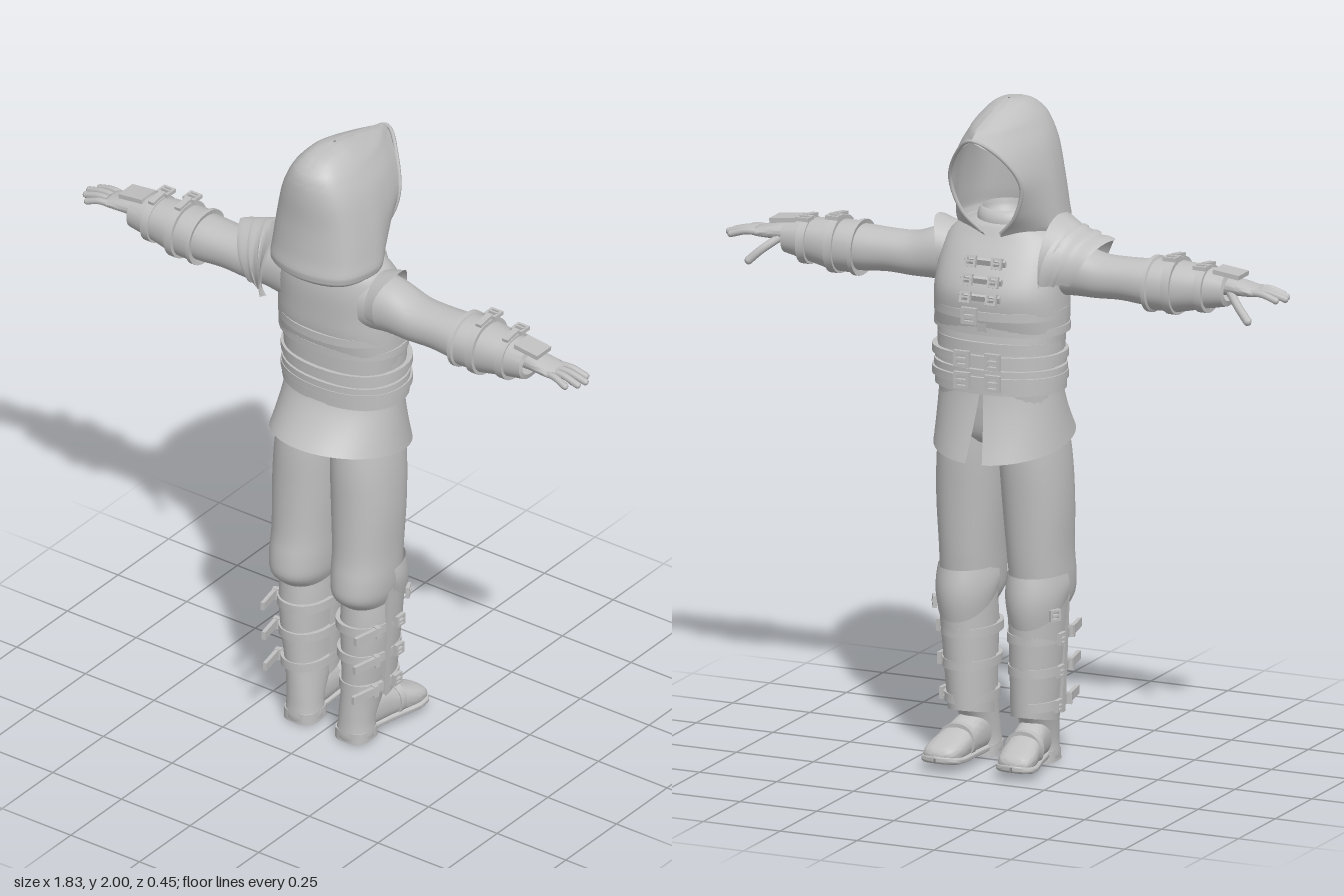
import * as THREE from 'three';
import { mergeVertices, toCreasedNormals } from 'three/addons/utils/BufferGeometryUtils.js';

const grey = new THREE.MeshStandardMaterial({ color: 0xc0c0c0, side: THREE.DoubleSide });
grey.name = 'plainGrey';

function add(parent, name, geo, x = 0, y = 0, z = 0, rx = 0, ry = 0, rz = 0) {
  const m = new THREE.Mesh(geo, grey);
  m.name = name;
  m.position.set(x, y, z);
  m.rotation.set(rx, ry, rz);
  parent.add(m);
  return m;
}

// Grid surface from a rule f(u, v) -> [x, y, z]
function surface(f, nu, nv, crease = 0.8) {
  const pos = [], idx = [];
  for (let j = 0; j <= nv; j++) for (let i = 0; i <= nu; i++) pos.push(...f(i / nu, j / nv));
  for (let j = 0; j < nv; j++) for (let i = 0; i < nu; i++) {
    const a = j * (nu + 1) + i, b = a + 1, c = a + nu + 1, d = c + 1;
    idx.push(a, c, b, b, c, d);
  }
  const g = new THREE.BufferGeometry();
  g.setAttribute('position', new THREE.Float32BufferAttribute(pos, 3));
  g.setIndex(idx);
  return toCreasedNormals(mergeVertices(g, 1e-5), crease);
}

// Smoothly (or linearly) interpolated row of a table at t in 0..1
function rowAt(rows, t, smooth = true) {
  const n = rows.length - 1, k = Math.min(n - 1, Math.floor(t * n)), f = t * n - k;
  const p0 = rows[Math.max(0, k - 1)], p1 = rows[k], p2 = rows[k + 1], p3 = rows[Math.min(n, k + 2)];
  return p1.map((v, i) => {
    if (!smooth) return v + (p2[i] - v) * f;
    const m1 = (p2[i] - p0[i]) / 2, m2 = (p3[i] - v) / 2, f2 = f * f, f3 = f2 * f;
    return (2 * f3 - 3 * f2 + 1) * v + (f3 - 2 * f2 + f) * m1 + (3 * f2 - 2 * f3) * p2[i] + (f3 - f2) * m2;
  });
}

// Oval tube along an axis; rows are [position, centreA, centreB, radiusA, radiusB]
function loft(axis, rows, { smooth = true, p = 2.2, n = 36 } = {}) {
  const sub = smooth ? 4 : 1;
  return surface((u, v) => {
    const [t, ca, cb, ra, rb] = rowAt(rows, v, smooth), ang = u * Math.PI * 2;
    const q = (w) => Math.sign(w) * Math.abs(w) ** (2 / p);
    const a = ca + Math.max(0, ra) * q(Math.cos(ang)), b = cb + Math.max(0, rb) * q(Math.sin(ang));
    return axis === 'y' ? [a, t, b] : axis === 'x' ? [t, a, b] : [a, b, t];
  }, n, (rows.length - 1) * sub);
}

// Flat strap around a limb or the waist
const band = (axis, t, h, ca, cb, ra, rb, d = 0.012) => loft(axis, [
  [t - h, ca, cb, ra - d, rb - d], [t - h, ca, cb, ra, rb],
  [t + h, ca, cb, ra, rb], [t + h, ca, cb, ra - d, rb - d]], { smooth: false });

// Square buckle with a hole and a tongue
function buckle(parent, s, x, y, z, rx = 0, ry = 0) {
  const sq = (c, r) => c.moveTo(-r, -r).lineTo(r, -r).lineTo(r, r).lineTo(-r, r).closePath();
  const shape = sq(new THREE.Shape(), s / 2);
  shape.holes.push(sq(new THREE.Path(), s * 0.3));
  const g = new THREE.Group();
  g.name = 'buckle';
  g.position.set(x, y, z);
  g.rotation.set(rx, ry, 0);
  add(g, 'buckleFrame', new THREE.ExtrudeGeometry(shape, { depth: 0.012, bevelEnabled: false }));
  add(g, 'buckleTongue', new THREE.BoxGeometry(s * 0.8, s * 0.16, 0.012), 0, 0, 0.008);
  parent.add(g);
}

function buildHood(root) {
  // rows: height, half width, back z, front z, half width of opening
  const rows = [[1.59, .13, .18, -.06, .03], [1.62, .168, .213, -.085, .03], [1.68, .165, .205, -.105, .085],
    [1.78, .15, .196, -.125, .115], [1.87, .128, .196, -.17, .075], [1.93, .1, .188, -.22, 0],
    [1.965, .075, .165, -.13, 0], [1.99, .045, .12, -.03, 0], [2, .004, .04, .03, 0]];
  const zm = 0.05, L = THREE.MathUtils.lerp;
  add(root, 'hood', surface((u, v) => {
    const [y, w, zb, zf, e0] = rowAt(rows, v), e = Math.max(0, e0);
    const side = [[e, zf], [L(e, w, .68), L(zf, Math.min(zm, zb), .45)], [w, Math.min(zm, zb)],
      [w * .78, L(Math.min(zm, zb), zb, .75)], [0, zb]];
    const ring = [...side.slice(0, 4), side[4], ...side.slice(0, 4).reverse().map(([x, z]) => [-x, z])];
    const [x, z] = rowAt(ring, u);
    return [x, y, z];
  }, 48, 40, 1.0));
  // hem around the face opening
  const edge = [];
  for (let i = 1; i <= 5; i++) edge.push(new THREE.Vector3(rows[i][4], rows[i][0], rows[i][3]));
  const all = [...edge, ...edge.slice(0, 4).reverse().map((q) => new THREE.Vector3(-q.x, q.y, q.z))];
  add(root, 'hoodHem', new THREE.TubeGeometry(new THREE.CatmullRomCurve3(all), 48, 0.006, 6));
}

function buildTorso(root) {
  add(root, 'vest', loft('y', [[1.325, 0, -.01, .203, .135], [1.4, 0, -.012, .203, .15], [1.46, 0, -.01, .2, .15],
    [1.54, 0, .01, .193, .13], [1.6, 0, .025, .172, .105], [1.635, 0, .03, .12, .09], [1.645, 0, .03, .075, .07]], { p: 2.4 }));
  add(root, 'neckCollar', loft('y', [[1.6, 0, .03, .085, .08], [1.65, 0, .03, .09, .085], [1.675, 0, .04, .08, .075],
    [1.64, 0, .04, .068, .062], [1.61, 0, .04, .002, .002]]));
  add(root, 'vestHem', band('y', 1.335, .012, 0, -.01, .208, .141));
  add(root, 'waist', loft('y', [[1.1, 0, -.015, .185, .13], [1.22, 0, -.018, .188, .135], [1.34, 0, -.012, .195, .13]], { p: 2.4 }));
  [[1.285, .192], [1.245, .2], [1.205, .202], [1.165, .2]].forEach(([y, r]) =>
    add(root, 'waistWrap', band('y', y, .017, 0, -.02, r, r - .055, .015)));
  for (const y of [1.255, 1.19]) {
    add(root, 'belt', band('y', y, .012, 0, -.024, .206, .154));
    for (const x of [-.05, .05]) buckle(root, .05, x, y, -.177, 0, Math.PI);
  }
  // flared tunic skirt, slit at the front and longer there
  add(root, 'tunicSkirt', surface((u, v) => {
    const gap = .02 + .11 * v, a = gap + u * (2 * Math.PI - 2 * gap), c = -Math.cos(a), f = v ** 1.35;
    const hem = .9875 + .0425 * c;
    return [(.19 + .018 * f) * Math.sin(a), 1.17 + (hem - 1.17) * v, -.017 + .022 * f + (.135 + .08 * f) * c];
  }, 48, 10));
  // chest fastenings
  [[1.54, -.125], [1.49, -.15], [1.44, -.163]].forEach(([y, z]) => {
    add(root, 'chestStrap', new THREE.BoxGeometry(.13, .018, .012), 0, y, z, -.35);
    for (const x of [-.042, .042]) buckle(root, .034, x, y, z - .007, .3, Math.PI);
  });
  add(root, 'chestPlacket', surface((u, v) => [(u - .5) * .03, 1.33 + .27 * v,
    -.15 - .014 * Math.sin(v * Math.PI) + .07 * v * v], 2, 12));
  add(root, 'lowerChestStrap', band('y', 1.385, .013, 0, -.012, .205, .156));
  buckle(root, .05, .03, 1.385, -.168, 0, Math.PI);
  // layered shoulder guard on one side
  for (let k = 0; k < 3; k++) add(root, 'shoulderGuard', surface((u, v) => {
    const a = (u - .5) * 3.7, out = .345 - .045 * k - .1 * Math.abs(u - .5) * 2, inn = .165;
    const r = .135 + .008 * k - (.04 - .006 * k) * v + .006 * (v > .85);
    return [-(inn + (out - inn) * v), 1.507 + r * Math.cos(a) + .01 * (1 - v), .035 + r * 1.02 * Math.sin(a)];
  }, 24, 8));
  // pointed shoulder edge on the other side
  add(root, 'shoulderEdge', surface((u, v) => {
    const a = u * 2 * Math.PI, top = Math.max(0, Math.cos(a)), r = .085 + .018 * v * top;
    return [.165 + .03 * v + .035 * v * top ** 3, 1.515 + r * Math.cos(a) * (1 + .08 * top), .03 + r * Math.sin(a)];
  }, 32, 4));
}

function buildArm() {
  const arm = new THREE.Group();
  arm.name = 'arm';
  add(arm, 'sleeve', loft('x', [[.14, 1.51, .03, .09, .085], [.22, 1.51, .03, .08, .078], [.3, 1.497, .03, .066, .075],
    [.38, 1.497, .03, .063, .072], [.47, 1.495, .03, .068, .075], [.55, 1.495, .03, .065, .07]]));
  add(arm, 'bracer', loft('x', [[.475, 1.493, .03, .06, .065], [.47, 1.493, .03, .083, .09], [.483, 1.493, .03, .083, .09],
    [.486, 1.493, .03, .076, .083], [.56, 1.494, .03, .076, .08], [.66, 1.5, .033, .06, .065],
    [.715, 1.503, .035, .052, .06], [.72, 1.503, .035, .035, .05]], { smooth: false }));
  [[.548, .086, .09], [.645, .07, .075]].forEach(([x, r, q]) => {
    add(arm, 'bracerStrap', band('x', x, .013, 1.496, .031, r, q));
    buckle(arm, .042, x, 1.494 + r, -.005, -Math.PI / 2);
    add(arm, 'strapTip', new THREE.BoxGeometry(.02, .01, .06), x, 1.5 + r, .04, .15);
  });
  // hand plate, palm, fingers and thumb
  add(arm, 'handPlate', new THREE.BoxGeometry(.085, .014, .07), .72, 1.553, .035, 0, 0, -.12);
  add(arm, 'palm', loft('x', [[.68, 1.51, .035, .028, .035], [.73, 1.513, .035, .026, .04], [.79, 1.508, .035, .018, .045],
    [.815, 1.506, .035, .012, .04], [.82, 1.506, .035, .001, .002]]));
  const finger = (name, r, ...pts) => add(arm, name, new THREE.TubeGeometry(
    new THREE.CatmullRomCurve3(pts.map((q) => new THREE.Vector3(...q))), 8, r, 8)) &&
    add(arm, name + 'Tip', new THREE.SphereGeometry(r, 8, 6), ...pts[pts.length - 1]);
  [[.003, -.005, .885], [.025, .022, .903], [.047, .05, .895], [.067, .078, .87]].forEach(([z0, z1, x]) =>
    finger('finger', .0105, [.79, 1.507, z0], [(.79 + x) / 2, 1.508, (z0 + z1) / 2], [x, 1.495, z1]));
  finger('thumb', .013, [.73, 1.5, .01], [.775, 1.465, -.025], [.81, 1.432, -.04]);
  return arm;
}

function buildLeg() {
  const leg = new THREE.Group();
  leg.name = 'leg';
  add(leg, 'trouserLeg', loft('y', [[1.1, .09, -.005, .09, .115], [.95, .1, .005, .1, .125], [.8, .107, .012, .1, .122],
    [.65, .11, .02, .092, .12], [.57, .112, .03, .09, .122], [.51, .112, .032, .084, .12], [.47, .112, .015, .07, .1]]));
  add(leg, 'bootShaft', loft('y', [[.5, .112, .01, .07, .1], [.4, .112, .015, .074, .1], [.3, .11, .014, .068, .1],
    [.2, .104, .015, .06, .095], [.13, .098, .035, .054, .075], [.06, .094, .053, .052, .058], [.0, .093, .055, .052, .055],
    [0, .093, .055, .001, .001]]));
  // foot, heel and sole
  add(leg, 'foot', loft('z', [[.06, .093, .08, .045, .06], [-.02, .1, .078, .05, .06], [-.08, .108, .066, .053, .048],
    [-.15, .117, .052, .058, .035], [-.195, .122, .045, .045, .022], [-.21, .124, .043, .003, .003]], { p: 2.5 }));
  add(leg, 'sole', loft('z', [[.02, .095, .026, .045, .012], [-.06, .105, .026, .052, .012], [-.15, .117, .027, .063, .012],
    [-.195, .122, .032, .052, .012], [-.213, .124, .036, .004, .008]], { p: 4 }));
  add(leg, 'heel', loft('y', [[0, .093, .055, .001, .001], [0, .093, .055, .055, .057], [.035, .093, .055, .054, .057],
    [.035, .093, .055, .04, .04]], { smooth: false, p: 3 }));
  add(leg, 'footStrap', band('z', -.085, .012, .108, .066, .058, .054));
  // shin guard and knee guard wrapped around the front
  add(leg, 'shinGuard', surface((u, v) => {
    const a = (u - .5) * 3.5, w = .066 + .022 * v, y = .14 + .38 * v + .02 * (1 - v) * Math.cos(a);
    return [.102 + .012 * v + w * Math.sin(a), y, -.002 - (.092 + .015 * v) * Math.cos(a)];
  }, 24, 8));
  add(leg, 'kneeGuard', surface((u, v) => {
    const s = Math.abs(u - .5) * 2, a = (u - .5) * 3.2, low = .43 + .085 * s * s, b = Math.sin(v * Math.PI);
    return [.113 + (.088 + .006 * b) * Math.sin(a), low + (.588 - low) * v, .01 - (.124 + .012 * b) * Math.cos(a)];
  }, 24, 8));
  buckle(leg, .035, .19, .475, -.06, 0, Math.PI / 2 + .5);
  // strap set down the shin
  [[.395, .084, .114], [.295, .08, .11], [.19, .074, .104]].forEach(([y, rx, rz]) => {
    add(leg, 'legStrap', band('y', y, .014, .107, .01, rx, rz));
    buckle(leg, .036, .107 + rx, y, -.02, 0, Math.PI / 2);
    add(leg, 'strapTip', new THREE.BoxGeometry(.012, .026, .1), .107 + rx * .85, y + .003, .115, 0, -.2);
    add(leg, 'strapLoop', new THREE.BoxGeometry(.02, .036, .016), .107 + rx * .92, y, .075, 0, -.3);
  });
  add(leg, 'sideStrip', new THREE.BoxGeometry(.012, .36, .022), .184, .34, .025, 0, 0, -.04);
  return leg;
}

export function createModel() {
  const root = new THREE.Group();
  root.name = 'hoodedFigure';
  buildHood(root);
  buildTorso(root);
  add(root, 'trouserSeat', loft('y', [[.96, 0, .0, .03, .05], [1.0, 0, .0, .16, .115], [1.1, 0, -.01, .185, .125],
    [1.2, 0, -.015, .185, .13]]));
  for (const build of [buildArm, buildLeg]) for (const s of [1, -1]) {
    const limb = build();
    limb.name = (s > 0 ? 'left' : 'right') + (build === buildArm ? 'Arm' : 'Leg');
    limb.scale.x = s;
    root.add(limb);
  }
  return root;
}
